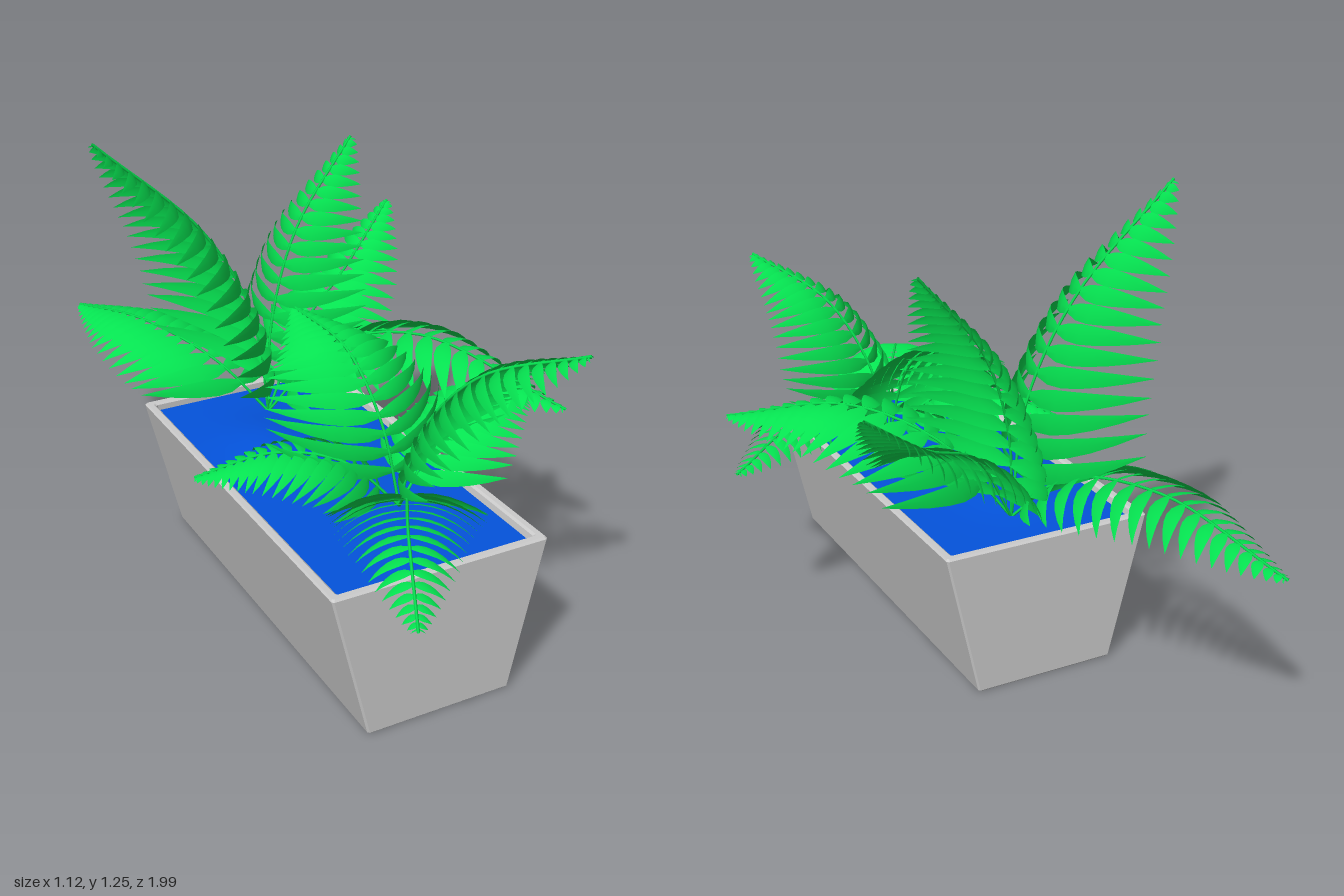
import * as THREE from 'three';

const grey = new THREE.MeshStandardMaterial({ color: 0xcccccc });
const blue = new THREE.MeshStandardMaterial({ color: 0x0453dc, side: THREE.DoubleSide });
const green = new THREE.MeshStandardMaterial({ color: 0x05e250, side: THREE.DoubleSide });

const H = 0.41;

function addMesh(parent, name, geometry, material) {
  const mesh = new THREE.Mesh(geometry, material);
  mesh.name = name;
  parent.add(mesh);
  return mesh;
}

// Open-bottomed trough: chamfered rings lofted round the wall section [height, inset]
function troughGeometry() {
  const section = [[0, 0.005], [0.005, 0], [H - 0.005, 0], [H, 0.005],
    [H, 0.02], [H - 0.005, 0.025], [0.005, 0.015], [0, 0.01]];
  const c = 0.005;
  const rings = section.map(([y, inset]) => {
    const x0 = -0.29 - 0.1 * y / H + inset, x1 = 0.11 + 0.095 * y / H - inset;
    const z0 = -0.4 + inset, z1 = 0.75 - inset;
    return [[x0 + c, y, z1], [x1 - c, y, z1], [x1, y, z1 - c], [x1, y, z0 + c],
      [x1 - c, y, z0], [x0 + c, y, z0], [x0, y, z0 + c], [x0, y, z1 - c]];
  });
  const pos = [];
  rings.forEach((ring, i) => {
    const next = rings[(i + 1) % rings.length];
    ring.forEach((p, j) => {
      const k = (j + 1) % ring.length;
      pos.push(...p, ...ring[k], ...next[k], ...p, ...next[k], ...next[j]);
    });
  });
  const g = new THREE.BufferGeometry();
  g.setAttribute('position', new THREE.Float32BufferAttribute(pos, 3));
  g.computeVertexNormals();
  return g;
}

// Filling surface with a low mound
function soilGeometry() {
  const g = new THREE.PlaneGeometry(0.54, 1.1, 12, 24).rotateX(-Math.PI / 2).translate(-0.092, 0.388, 0.175);
  const p = g.attributes.position;
  for (let i = 0; i < p.count; i++) {
    const dx = (p.getX(i) + 0.16) / 0.13, dz = (p.getZ(i) + 0.05) / 0.16;
    p.setY(i, p.getY(i) + 0.028 * Math.exp(-dx * dx - dz * dz));
  }
  g.computeVertexNormals();
  return g;
}

// Separate leaflets in pairs along a curve, longest near the base and closer
// together towards the tip; each is a creased, drooping blade
function leafletGeometry(curve, width, droop) {
  const pos = [], index = [];
  const pairs = 18;
  const span = curve.getLength();
  const blade = [0.35, 0.85, 1, 0.9, 0.7, 0.4, 0];
  const rows = blade.length - 1;
  const out = curve.getPoint(1).sub(curve.getPoint(0)).setY(0).normalize();
  const side = new THREE.Vector3().crossVectors(out, new THREE.Vector3(0, 1, 0));
  for (let i = 0; i < pairs; i++) {
    const k = i / (pairs - 1), u = 1 - Math.pow(1 - k, 1.35), t = 0.13 + 0.86 * u;
    const root = curve.getPointAt(t), tangent = curve.getTangentAt(t);
    const normal = new THREE.Vector3().crossVectors(side, tangent).normalize();
    const length = 1.15 * width * (1 - u) * (0.88 + 0.6 * u) + 0.018;
    const spacing = span * 0.86 * 1.35 * Math.pow(1 - k, 0.35) / (pairs - 1);
    const half = 0.39 * spacing + 0.003;
    for (const s of [-1, 1]) {
      const first = pos.length / 3;
      for (let r = 0; r <= rows; r++) {
        const f = r / rows, w = half * blade[r];
        const mid = root.clone()
          .addScaledVector(side, s * length * f * (1 - 0.1 * f))
          .addScaledVector(tangent, length * (0.1 * f + 0.28 * f * f))
          .addScaledVector(normal, length * (0.08 * f - droop * f * f));
        for (const e of [-1, 0, 1]) {
          const p = mid.clone().addScaledVector(tangent, e * w)
            .addScaledVector(normal, e * w * 0.3 - Math.abs(e) * w * 0.15);
          pos.push(p.x, p.y, p.z);
        }
        if (r === rows) continue;
        for (const c of [0, 1]) {
          const a = first + r * 3 + c, b = a + 1, d = a + 3, q = a + 4;
          if (s > 0) index.push(a, b, q, a, q, d);
          else index.push(a, q, b, a, d, q);
        }
      }
    }
  }
  const g = new THREE.BufferGeometry();
  g.setAttribute('position', new THREE.Float32BufferAttribute(pos, 3));
  g.setIndex(index);
  g.computeVertexNormals();
  return g;
}

function fern(name, base, fronds) {
  const plant = new THREE.Group();
  plant.name = name;
  for (const { path, width, droop } of fronds) {
    const frond = new THREE.Group();
    frond.name = 'frond';
    const curve = new THREE.CatmullRomCurve3([base, ...path].map(p => new THREE.Vector3(...p)));
    addMesh(frond, 'stem', new THREE.TubeGeometry(curve, 20, 0.004, 5), green);
    addMesh(frond, 'leaflets', leafletGeometry(curve, width, droop), green);
    plant.add(frond);
  }
  return plant;
}

export function createModel() {
  const model = new THREE.Group();
  model.name = 'planter';
  addMesh(model, 'trough', troughGeometry(), grey);
  addMesh(model, 'soil', soilGeometry(), blue);

  model.add(fern('backFern', [-0.08, 0.39, -0.22], [
    { path: [[-0.18, 0.52, -0.32], [-0.29, 0.57, -0.6], [-0.37, 0.5, -0.99]], width: 0.24, droop: 0.4 },
    { path: [[0.05, 0.6, -0.27], [0.25, 0.71, -0.38], [0.46, 0.865, -0.49]], width: 0.24, droop: 0.5 },
    { path: [[-0.13, 0.7, -0.2], [-0.27, 0.97, -0.2], [-0.56, 1.25, -0.2]], width: 0.29, droop: 0.75 },
    { path: [[-0.05, 0.65, -0.25], [0.05, 0.9, -0.29], [0.25, 1.13, -0.34]], width: 0.25, droop: 0.65 },
    { path: [[0.08, 0.6, -0.13], [0.25, 0.67, 0.06], [0.48, 0.55, 0.43]], width: 0.28, droop: 0.45 },
  ]));
  model.add(fern('frontFern', [-0.02, 0.39, 0.42], [
    { path: [[0.02, 0.6, 0.45], [0.1, 0.79, 0.58], [0.25, 0.9, 0.8]], width: 0.26, droop: 0.6 },
    { path: [[-0.08, 0.5, 0.55], [-0.2, 0.54, 0.76], [-0.31, 0.45, 0.99]], width: 0.2, droop: 0.35 },
    { path: [[-0.04, 0.6, 0.36], [-0.05, 0.74, 0.2], [-0.05, 0.75, -0.1]], width: 0.28, droop: 0.5 },
    { path: [[0.12, 0.52, 0.37], [0.33, 0.57, 0.26], [0.55, 0.49, 0.16]], width: 0.2, droop: 0.4 },
    { path: [[-0.15, 0.52, 0.36], [-0.3, 0.54, 0.27], [-0.47, 0.46, 0.16]], width: 0.2, droop: 0.4 },
  ]));
  return model;
}
